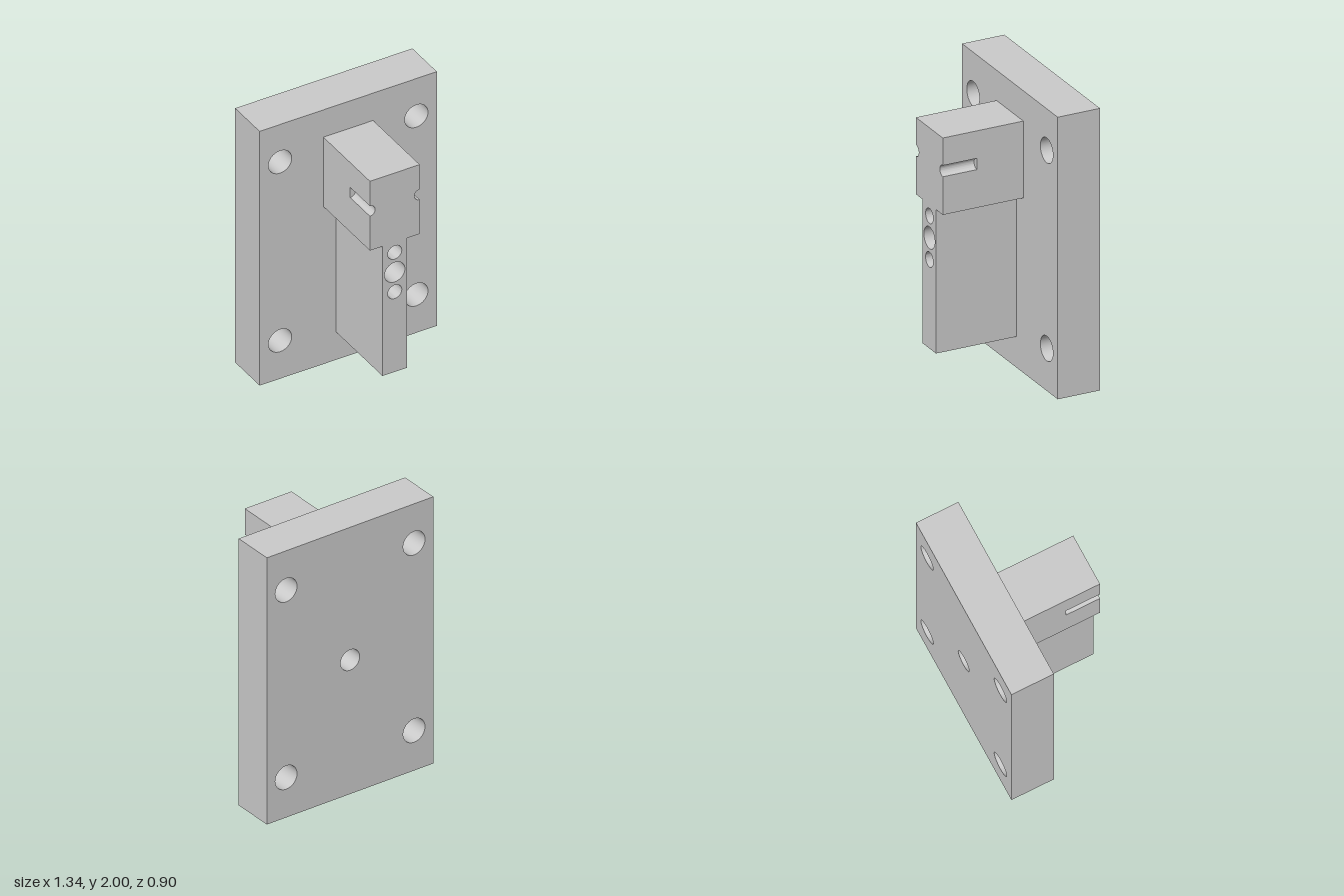
import * as THREE from 'three';
import { mergeGeometries, toCreasedNormals } from 'three/addons/utils/BufferGeometryUtils.js';

const SEG = 24;
const BACK = -0.45, SEAT = -0.14, POCKET = 0.2, FRONT = 0.45;
const STEM = 0.093, HEAD = 0.188, BOTTOM = 0.22, NECK = 1.24, TOP = 1.785;
const GROOVE_Y = 1.55, GROOVE_R = 0.04, PIN_R = 0.053;
const PINS = [1.16, 0.85];

function circle(x, y, r) {
  const path = new THREE.Path();
  path.absarc(x, y, r, 0, Math.PI * 2, false);
  return path;
}

// T-shaped outline, optionally with a half-round groove in each side of the head
function blockOutline(grooved) {
  const s = new THREE.Shape();
  s.moveTo(-STEM, BOTTOM).lineTo(STEM, BOTTOM).lineTo(STEM, NECK).lineTo(HEAD, NECK);
  if (grooved) s.absarc(HEAD, GROOVE_Y, GROOVE_R, -Math.PI / 2, Math.PI / 2, true);
  s.lineTo(HEAD, TOP).lineTo(-HEAD, TOP);
  if (grooved) s.absarc(-HEAD, GROOVE_Y, GROOVE_R, Math.PI / 2, -Math.PI / 2, true);
  s.lineTo(-HEAD, NECK).lineTo(-STEM, NECK);
  return s;
}

// Side walls of an extrusion, without its end caps
function walls(shape, z0, z1) {
  const full = new THREE.ExtrudeGeometry(shape, { depth: z1 - z0, bevelEnabled: false, curveSegments: SEG });
  const side = full.groups.find((g) => g.materialIndex === 1);
  const geo = new THREE.BufferGeometry();
  for (const name of ['position', 'normal', 'uv']) {
    const a = full.attributes[name];
    const part = a.array.slice(side.start * a.itemSize, (side.start + side.count) * a.itemSize);
    geo.setAttribute(name, new THREE.BufferAttribute(part, a.itemSize));
  }
  return toCreasedNormals(geo, 0.6).translate(0, 0, z0);
}

function cap(shape, z) {
  return new THREE.ShapeGeometry(shape, SEG).toNonIndexed().translate(0, 0, z);
}

function disc(x, y, r, start = 0, sweep = Math.PI * 2) {
  return new THREE.CircleGeometry(r, SEG * 2, start, sweep).toNonIndexed().translate(x, y, POCKET);
}

export function createModel() {
  const group = new THREE.Group();
  const material = new THREE.MeshStandardMaterial({ color: 0xcccccc });
  const add = (name, parts) => {
    const mesh = new THREE.Mesh(mergeGeometries(parts), material);
    mesh.name = name;
    group.add(mesh);
  };
  const bore = circle(0, 1.005, 0.077);

  // Mounting plate with four corner holes; its front face is open behind the block
  const plate = (inner) => {
    const s = new THREE.Shape();
    s.moveTo(-0.67, 0).lineTo(0.67, 0).lineTo(0.67, 2).lineTo(-0.67, 2);
    for (const x of [-0.515, 0.515]) {
      for (const y of [0.3, 1.705]) s.holes.push(circle(x, y, 0.088));
    }
    s.holes.push(inner);
    return s;
  };
  const drilled = plate(bore);
  add('mountingPlate', [
    walls(drilled, BACK, SEAT),
    cap(drilled, 0).rotateY(Math.PI).translate(0, 0, BACK),
    cap(plate(blockOutline(false)), SEAT),
  ]);

  // Rear of the block: plain outline with the through bore
  const rear = blockOutline(false);
  rear.holes.push(bore);
  add('blockRear', [walls(rear, SEAT, POCKET)]);

  // Front of the block: side grooves, bore and two blind pin holes
  const front = blockOutline(true);
  front.holes.push(bore, ...PINS.map((y) => circle(0, y, PIN_R)));
  add('blockFront', [walls(front, POCKET, FRONT), cap(front, FRONT)]);

  // Floors of the pin holes and the ends of the grooves
  add('pocketFloors', [
    ...PINS.map((y) => disc(0, y, PIN_R)),
    disc(HEAD, GROOVE_Y, GROOVE_R, Math.PI / 2, Math.PI),
    disc(-HEAD, GROOVE_Y, GROOVE_R, -Math.PI / 2, Math.PI),
  ]);

  return group;
}
